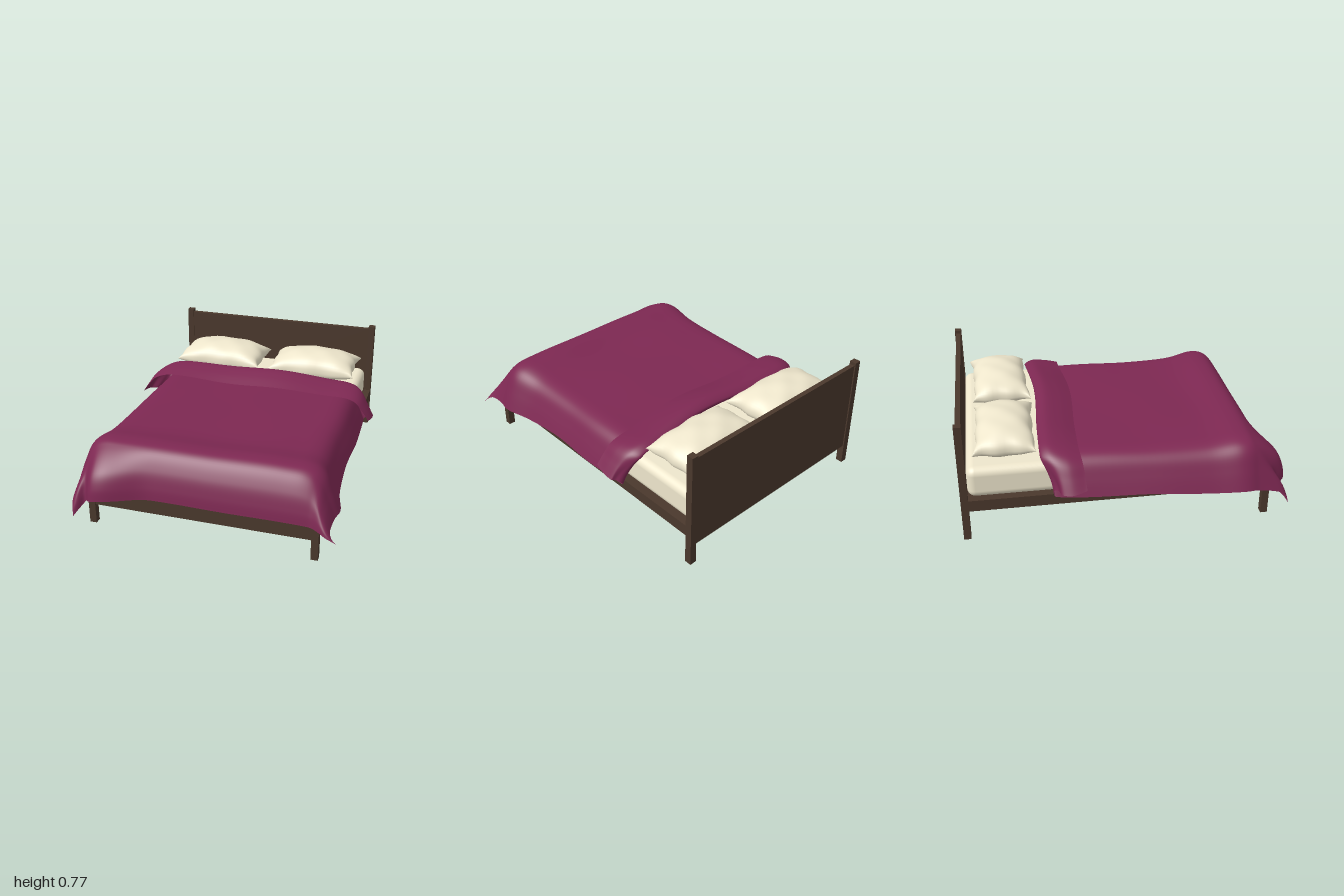
import * as THREE from 'three';
import { mergeVertices } from 'three/addons/utils/BufferGeometryUtils.js';
import { RoundedBoxGeometry } from 'three/addons/geometries/RoundedBoxGeometry.js';

const wood = new THREE.MeshStandardMaterial({ color: 0x4a382c });
const linen = new THREE.MeshStandardMaterial({ color: 0xeee6cc });
const cloth = new THREE.MeshStandardMaterial({ color: 0x7d2852, side: THREE.DoubleSide });

const { smoothstep, lerp } = THREE.MathUtils;
const gauss = (d, w) => Math.exp(-((d / w) ** 2));

function add(parent, name, geometry, material, x = 0, y = 0, z = 0) {
  const mesh = new THREE.Mesh(geometry, material);
  mesh.name = name;
  mesh.position.set(x, y, z);
  parent.add(mesh);
  return mesh;
}

// Box given by its extents along each axis
function board(parent, name, [x0, x1], [y0, y1], [z0, z1]) {
  add(parent, name, new THREE.BoxGeometry(x1 - x0, y1 - y0, z1 - z0), wood,
    (x0 + x1) / 2, (y0 + y1) / 2, (z0 + z1) / 2);
}

function createFrame() {
  const frame = new THREE.Group();
  frame.name = 'bedFrame';
  for (const s of [-1, 1]) {
    const side = s < 0 ? 'right' : 'left';
    const span = s < 0 ? [-0.715, -0.672] : [0.672, 0.715];
    board(frame, side + 'HeadPost', span, [0, 0.77], [-1, -0.956]);
    board(frame, side + 'FootPost', span, [0, 0.268], [0.842, 0.885]);
    board(frame, side + 'SideRail', span, [0.2, 0.272], [-0.956, 0.842]);
  }
  board(frame, 'headboard', [-0.672, 0.672], [0.13, 0.75], [-0.992, -0.962]);
  board(frame, 'footRail', [-0.672, 0.672], [0.13, 0.25], [0.848, 0.88]);
  board(frame, 'mattressBase', [-0.672, 0.672], [0.205, 0.258], [-0.962, 0.848]);
  return frame;
}

// Plump cushion pinched to a seam with pointed corners
function pillowGeometry(phase) {
  const geo = new THREE.BoxGeometry(2, 2, 2, 28, 1, 20);
  geo.deleteAttribute('normal');
  geo.deleteAttribute('uv');
  const p = geo.attributes.position;
  for (let i = 0; i < p.count; i++) {
    const u = Math.sin(p.getX(i) * Math.PI / 2), v = Math.sin(p.getZ(i) * Math.PI / 2);
    const full = Math.max(0, (1 - u * u) * (1 - v * v)) ** 0.42;
    const top = p.getY(i) > 0;
    const x = 0.308 * u * (1 - 0.075 * (1 - v ** 6) * u * u);
    const z = 0.188 * v * (1 - 0.09 * (1 - u ** 6) * v * v);
    const ripple = 0.005 * Math.sin(9 * u + phase) * Math.cos(5 * v + phase) * full;
    p.setXYZ(i, x + 0.005 * Math.sin(8 * v + phase) * u * u,
      (top ? 0.115 : -0.082) * full + ripple,
      z + 0.005 * Math.sin(9 * u + phase) * v * v);
  }
  const smooth = mergeVertices(geo, 1e-5);
  smooth.computeVertexNormals();
  return smooth;
}

// Blanket sections from the folded-back edge to the foot hem:
// z, top height, right width, left width, right hem, left hem, crown sag
const SECTIONS = [
  [-0.27, 0.515, 0.83, 0.80, 0.36, 0.35, 0.02],
  [-0.36, 0.548, 0.845, 0.815, 0.34, 0.33, 0.04],
  [-0.45, 0.567, 0.81, 0.81, 0.33, 0.32, 0.05],
  [-0.505, 0.54, 0.76, 0.78, 0.32, 0.31, 0.04],
  [-0.48, 0.505, 0.74, 0.75, 0.275, 0.275, 0.02],
  [-0.40, 0.49, 0.75, 0.75, 0.265, 0.265, 0],
  [-0.10, 0.49, 0.77, 0.755, 0.262, 0.262, 0],
  [0.20, 0.49, 0.79, 0.745, 0.255, 0.26, 0],
  [0.50, 0.495, 0.81, 0.76, 0.248, 0.25, 0],
  [0.69, 0.525, 0.83, 0.80, 0.245, 0.245, 0],
  [0.79, 0.505, 0.81, 0.785, 0.23, 0.24, 0],
  [0.86, 0.41, 0.79, 0.78, 0.19, 0.225, 0],
  [0.893, 0.31, 0.775, 0.80, 0.14, 0.20, 0],
  [0.905, 0.235, 0.77, 0.83, 0.09, 0.18, 0],
];
// Half cross-section: share of the width, share of the drop
const HALF = [[0, 1], [0.3, 1], [0.6, 0.995], [0.78, 0.97], [0.88, 0.8], [0.945, 0.42], [1, 0]];

function blanketGeometry() {
  const columns = SECTIONS[0].map((_, c) =>
    new THREE.SplineCurve(SECTIONS.map((k, i) => new THREE.Vector2(i, k[c]))));
  const profile = new THREE.SplineCurve(HALF.map(([a, b]) => new THREE.Vector2(a, b)));
  const across = 72, along = 104;
  const geo = new THREE.PlaneGeometry(1, 1, across, along);
  const p = geo.attributes.position;
  for (let i = 0; i < p.count; i++) {
    const s = 2 * (i % (across + 1)) / across - 1;
    const t = Math.floor(i / (across + 1)) / along;
    const [z0, top, wr, wl, hr, hl, sag] = columns.map(c => c.getPoint(t).y);
    const { x: q, y: f } = profile.getPoint(Math.abs(s));
    const x = (s < 0 ? -wr : wl) * q;
    const hem = s < 0 ? hr : hl;
    let y = lerp(hem, top, f) - sag * q * q * f;
    let z = z0;
    // Loose wrinkles, stronger toward the hanging sides
    y += 0.004 * Math.sin(7 * x + 3 * z) * Math.cos(6 * z - 2 * x) + 0.006 * Math.sin(9 * z) * (1 - f);
    const fold = 1 - smoothstep(t, 0.2, 0.4);
    z += fold * (0.012 * Math.sin(6 * x + 1) - 0.012 * gauss(Math.abs(x) - 0.65, 0.15));
    y += fold * 0.008 * Math.sin(8 * x);
    z += fold * 0.07 * smoothstep(q, 0.85, 1) * smoothstep(t, 0.1, 0.22);
    // Flared corners at the foot
    const foot = smoothstep(z0, 0.78, 0.9);
    z += foot * (0.09 * smoothstep(-x, 0.3, 0.62) - 0.06 * gauss(x + 0.71, 0.035)
      + 0.055 * smoothstep(x, 0.65, 0.78));
    p.setXYZ(i, x, y, z);
  }
  geo.computeVertexNormals();
  return geo;
}

export function createModel() {
  const bed = new THREE.Group();
  bed.name = 'bed';
  bed.add(createFrame());
  add(bed, 'mattress', new RoundedBoxGeometry(1.34, 0.2, 1.765, 5, 0.05), linen, 0, 0.355, -0.075);
  const right = add(bed, 'rightPillow', pillowGeometry(0.6), linen, -0.343, 0.535, -0.715);
  right.rotation.y = -0.02;
  const left = add(bed, 'leftPillow', pillowGeometry(2.4), linen, 0.333, 0.537, -0.715);
  left.rotation.y = 0.02;
  add(bed, 'blanket', blanketGeometry(), cloth);
  return bed;
}
